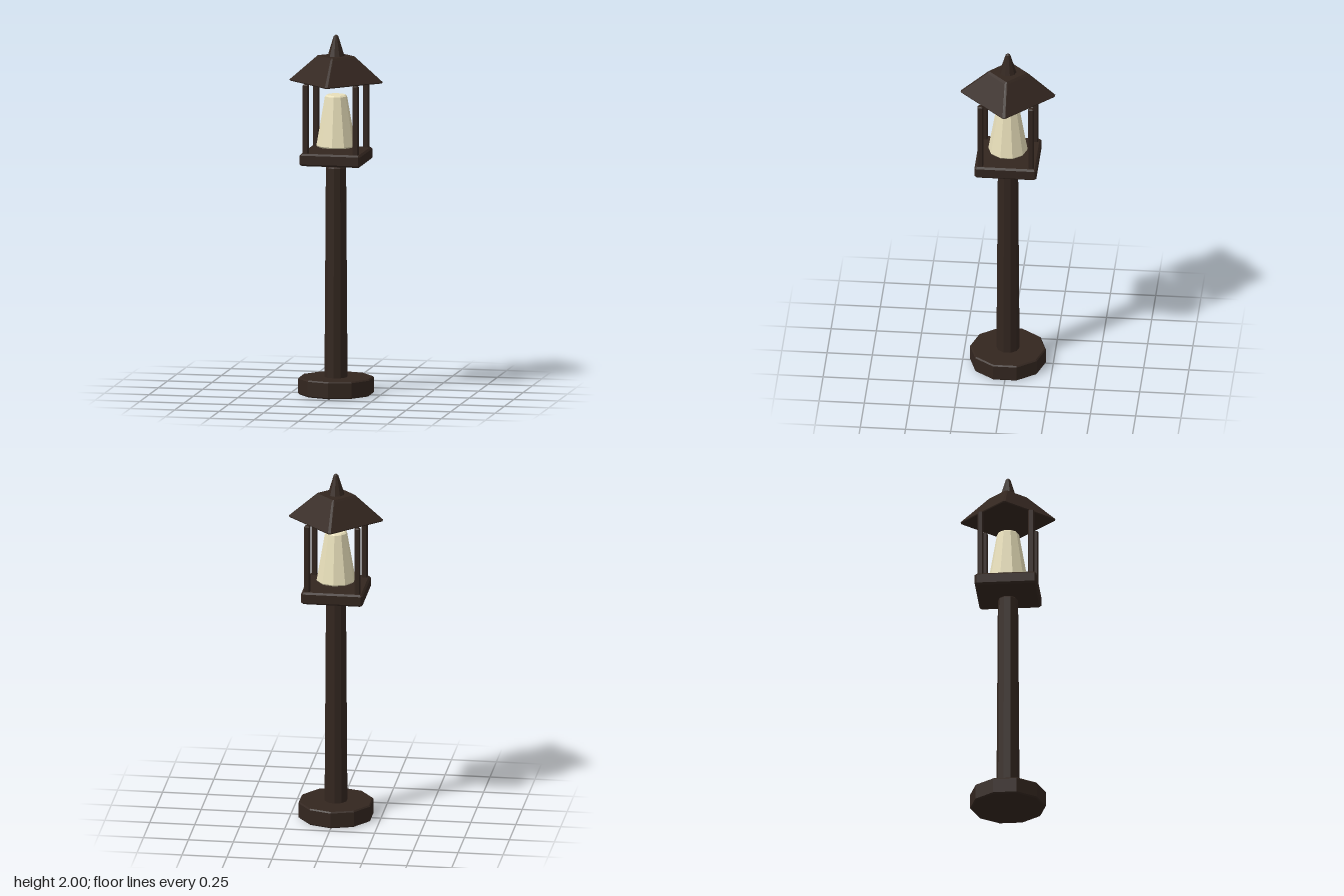
import * as THREE from 'three';
import { ConvexGeometry } from 'three/addons/geometries/ConvexGeometry.js';

const dark = new THREE.MeshStandardMaterial({ color: 0x33261f, flatShading: true });
const cream = new THREE.MeshStandardMaterial({ color: 0xe8dfba, flatShading: true });

// Ten-sided tapered solid with chamfered rims
function taper(name, r0, r1, y0, y1, bevel, material = dark) {
  const t = bevel / (y1 - y0);
  const side = (k) => r0 + (r1 - r0) * k;
  const profile = [
    [0, y0], [r0 - bevel, y0], [side(t), y0 + bevel],
    [side(1 - t), y1 - bevel], [r1 - bevel, y1], [0, y1],
  ].map(([r, y]) => new THREE.Vector2(r, y));
  const mesh = new THREE.Mesh(new THREE.LatheGeometry(profile, 10), material);
  mesh.name = name;
  return mesh;
}

// Square solid with cut corners; each ring is [half width, y, corner cut]
function squareSolid(name, rings) {
  const points = [];
  for (const [h, y, cut] of rings)
    for (const sx of [-1, 1])
      for (const sz of [-1, 1])
        points.push(
          new THREE.Vector3(sx * h, y, sz * (h - cut)),
          new THREE.Vector3(sx * (h - cut), y, sz * h));
  const mesh = new THREE.Mesh(new ConvexGeometry(points), dark);
  mesh.name = name;
  return mesh;
}

function bevelledBox(name, half, y0, y1, b) {
  return squareSolid(name, [
    [half - b, y0, b / 2], [half, y0 + b, b], [half, y1 - b, b], [half - b, y1, b / 2],
  ]);
}

export function createModel() {
  const lamp = new THREE.Group();
  lamp.name = 'lampPost';

  // Foot and column
  lamp.add(taper('base', 0.21, 0.21, 0, 0.095, 0.007));
  lamp.add(taper('column', 0.064, 0.056, 0.08, 1.267, 0.006));

  // Lantern floor and its four uprights
  lamp.add(bevelledBox('lanternFloor', 0.171, 1.288, 1.357, 0.01));
  for (const sx of [-1, 1])
    for (const sz of [-1, 1]) {
      const upright = bevelledBox('upright', 0.016, 1.345, 1.74, 0.006);
      upright.position.set(sx * 0.14, 0, sz * 0.14);
      lamp.add(upright);
    }

  // Glowing shade
  lamp.add(taper('lampShade', 0.11, 0.06, 1.378, 1.667, 0.008, cream));

  // Roof, turned so its corners lie on the axes
  const roof = squareSolid('roof', [
    [0.187, 1.738, 0.009], [0.19, 1.744, 0.011], [0.086, 1.872, 0.012], [0.075, 1.883, 0.004],
  ]);
  roof.rotation.y = Math.PI / 4;
  lamp.add(roof);

  // Pointed finial
  lamp.add(taper('finial', 0.05, 0.011, 1.872, 2, 0.007));
  return lamp;
}
